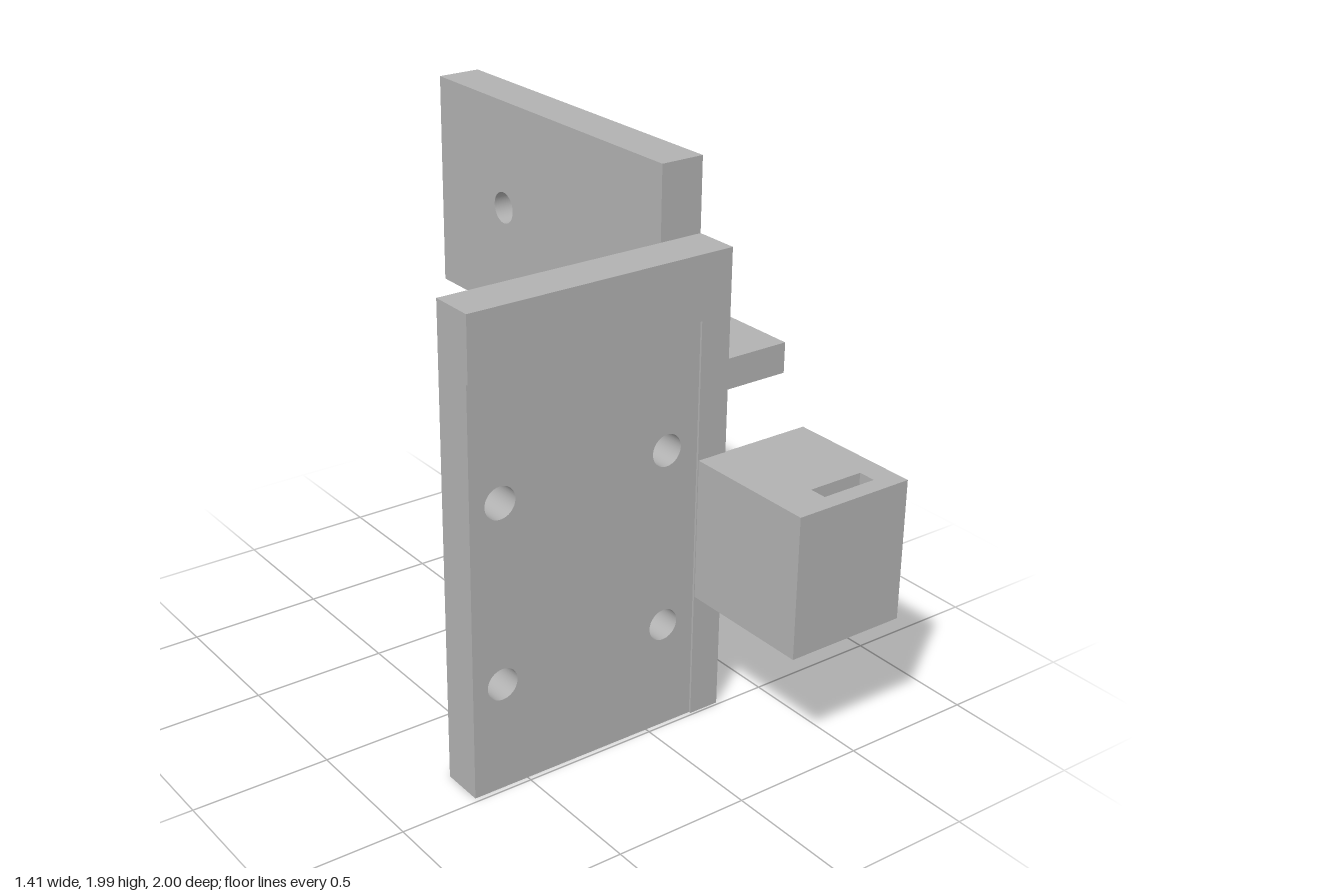
import * as THREE from 'three';

const grey = new THREE.MeshStandardMaterial({ color: 0xb2b2b2 });
grey.name = 'plain grey';

function polygon(points, holes = []) {
  const shape = new THREE.Shape(points.map(([x, y]) => new THREE.Vector2(x, y)));
  shape.holes.push(...holes);
  return shape;
}

const rect = (x0, x1, y0, y1, holes) =>
  polygon([[x0, y0], [x1, y0], [x1, y1], [x0, y1]], holes);

const circle = (x, y, r) => new THREE.Path().absarc(x, y, r, 0, Math.PI * 2, true);

// Extrude a shape from one level to another along its normal
function slab(shape, from, to) {
  return new THREE.ExtrudeGeometry(shape, {
    depth: to - from, bevelEnabled: false, curveSegments: 48,
  }).translate(0, 0, from);
}

function box(x0, x1, y0, y1, z0, z1) {
  return new THREE.BoxGeometry(x1 - x0, y1 - y0, z1 - z0)
    .translate((x0 + x1) / 2, (y0 + y1) / 2, (z0 + z1) / 2);
}

export function createModel() {
  const model = new THREE.Group();
  model.name = 'mountingBracket';
  const add = (name, geometry) => {
    const mesh = new THREE.Mesh(geometry, grey);
    mesh.name = name;
    model.add(mesh);
  };

  // Upright plate with four screw holes
  const screwHoles = [];
  for (const x of [-0.595, 0.065])
    for (const y of [0.4, 1.06]) screwHoles.push(circle(x, y, 0.058));
  add('mountingPlate', slab(rect(-0.71, 0.31, 0, 1.72, screwHoles), 0.325, 0.482));

  // Raised L-shaped border around the shallow front recess
  add('plateBorder', slab(polygon([
    [0.192, 0], [0.31, 0], [0.31, 1.72], [-0.71, 1.72], [-0.71, 1.49], [0.192, 1.49],
  ]), 0.482, 0.49));

  // Side arm reaching back, with a pin hole in a shallow round recess
  const arm = (holeRadius, x0, x1) =>
    slab(rect(-0.325, 1, 1.195, 1.985, [circle(0.59, 1.59, holeRadius)]), x0, x1)
      .rotateY(Math.PI / 2);
  add('sideArm', arm(0.058, 0.145, 0.302));
  add('armRecessRim', arm(0.34, 0.302, 0.31));

  // Front block with a vertical slot
  const slot = new THREE.Path([
    [0.355, -0.87], [0.57, -0.87], [0.57, -0.935], [0.355, -0.935],
  ].map(([x, y]) => new THREE.Vector2(x, y)));
  add('slottedBlock', slab(rect(0.195, 0.66, -1, -0.487, [slot]), 0.47, 0.99)
    .rotateX(-Math.PI / 2));

  // Side shelf and rear foot
  add('sideShelf', box(0.31, 0.705, 1.125, 1.24, -0.205, 0.325));
  add('rearFoot', box(-0.445, -0.135, 0, 0.265, -0.07, 0.325));

  return model;
}
